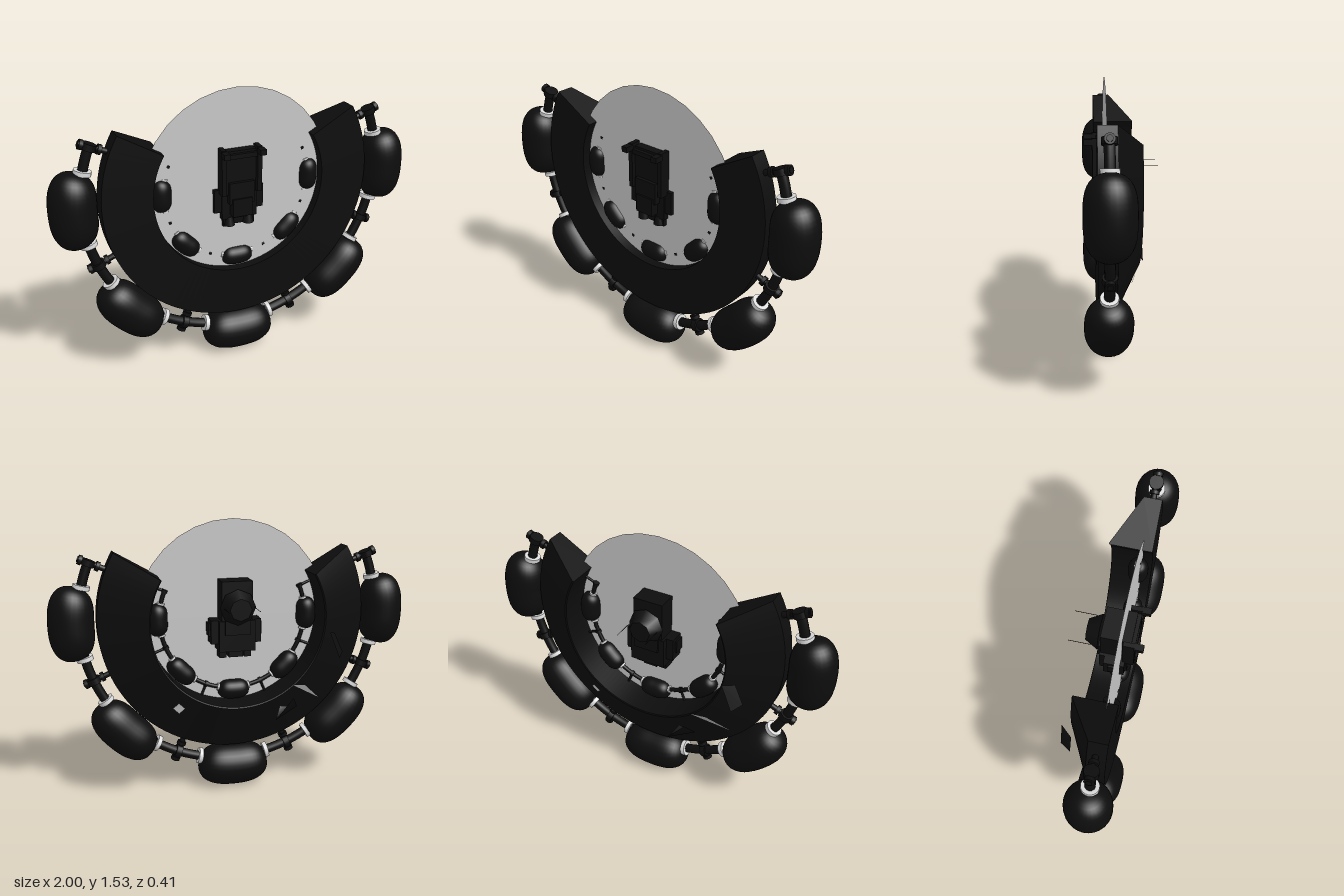
import * as THREE from 'three';
import { mergeVertices, toCreasedNormals } from 'three/addons/utils/BufferGeometryUtils.js';

const CENTRE_Y = 1.0;
const rad = THREE.MathUtils.degToRad;

const material = (name, color, side = THREE.FrontSide) => {
  const m = new THREE.MeshStandardMaterial({ color, side });
  m.name = name;
  return m;
};

function add(parent, name, geometry, mat, x = 0, y = 0, z = 0) {
  const mesh = new THREE.Mesh(geometry, mat);
  mesh.name = name;
  mesh.position.set(x, y, z);
  parent.add(mesh);
  return mesh;
}

// Rounded barrel bent along an arc around the hub; its middle sits at the bottom
function bentPod(arcRadius, halfLength, radius) {
  const profile = [];
  for (let i = 0; i <= 24; i++) {
    const t = -Math.cos((i / 24) * Math.PI);
    const r = radius * Math.pow(Math.max(0, 1 - Math.pow(Math.abs(t), 3.2)), 0.42);
    profile.push(new THREE.Vector2(r, t * halfLength));
  }
  let g = new THREE.LatheGeometry(profile, 28);
  const p = g.attributes.position;
  for (let i = 0; i < p.count; i++) {
    const a = p.getY(i) / arcRadius;
    const r = arcRadius + p.getX(i);
    p.setXYZ(i, r * Math.sin(a), -r * Math.cos(a), p.getZ(i));
  }
  g.deleteAttribute('uv');
  g.deleteAttribute('normal');
  g = mergeVertices(g, 1e-5);
  g.computeVertexNormals();
  return g;
}

// Arc of pods joined by a pipe with collars and radial brackets
function podArc(name, o, dark, pale) {
  const arc = new THREE.Group();
  arc.name = name;
  arc.position.z = o.z;
  const pipe = new THREE.TorusGeometry(o.pipeRadius, o.tube, 12, 96, rad(225));
  pipe.rotateZ(rad(-202.5));
  add(arc, 'connectingPipe', pipe, dark);

  const pod = bentPod(o.podRadius, o.halfLength, o.radius);
  const collar = new THREE.CylinderGeometry(o.tube * 1.75, o.tube * 1.75, o.tube * 0.9, 20);
  collar.rotateZ(Math.PI / 2);
  const collarAngle = o.halfLength / o.podRadius + 0.006;
  for (let k = 0; k < 5; k++) {
    const a = rad(-90 + 45 * k);
    add(arc, 'pod', pod, dark).rotation.z = a;
    for (const s of [-1, 1]) {
      const holder = new THREE.Group();
      holder.name = 'podCollar';
      holder.rotation.z = a + s * collarAngle;
      add(holder, 'collar', collar, pale, 0, -o.pipeRadius, 0);
      arc.add(holder);
    }
  }
  for (let k = 0; k < 6; k++) {
    const b = new THREE.Group();
    b.name = 'bracket';
    b.rotation.z = rad(-112.5 + 45 * k);
    const t = o.tube;
    const sleeve = new THREE.CylinderGeometry(t * 1.45, t * 1.45, t * 1.3, 16);
    sleeve.rotateZ(Math.PI / 2);
    add(b, 'sleeve', sleeve, dark, 0, -o.pipeRadius, 0);
    add(b, 'strut', new THREE.CylinderGeometry(t * 0.6, t * 0.6, o.strut, 12), dark, 0, -o.strutAt, 0);
    if (o.caps) {
      for (const r of [0.785, 0.88]) {
        add(b, 'strutCap', new THREE.CylinderGeometry(t, t, 0.02, 14), dark, 0, -r, 0);
      }
    }
    arc.add(b);
  }
  return arc;
}

// Open ring with a flat front and a sloping back
function hullRing(dark, darkDouble) {
  const g = new THREE.Group();
  g.name = 'hullRing';
  const section = [[0.745, 0.04], [0.745, 0.135], [0.478, 0.135], [0.478, -0.09], [0.485, -0.093]]
    .map(([r, z]) => new THREE.Vector2(r, z));
  let body = new THREE.LatheGeometry([...section, section[0]], 80, rad(-120), rad(240));
  body.rotateX(Math.PI / 2);
  body = toCreasedNormals(body, 0.4);
  add(g, 'ringBody', body, dark);
  for (const s of [-1, 1]) {
    const a = s * rad(120);
    const out = new THREE.Vector3(Math.sin(a), -Math.cos(a), 0);
    const up = new THREE.Vector3(0, 0, 1);
    const cap = new THREE.ShapeGeometry(new THREE.Shape(section));
    cap.applyMatrix4(new THREE.Matrix4().makeBasis(out, up, out.clone().cross(up)));
    add(g, 'ringEnd', cap, darkDouble);
  }
  return g;
}

// Thin flat patch through three or four corner points
function patch(points) {
  const g = new THREE.BufferGeometry().setFromPoints(points.map((p) => new THREE.Vector3(...p)));
  g.setIndex(points.length === 4 ? [0, 1, 2, 0, 2, 3] : [0, 1, 2]);
  g.computeVertexNormals();
  return g;
}

// Central craft: twin-railed hull, broad lower section, antennas
function centralCraft(dark) {
  const g = new THREE.Group();
  g.name = 'centralCraft';
  const box = (name, w, h, d, x, y, z) => add(g, name, new THREE.BoxGeometry(w, h, d), dark, x, y, z);
  box('hull', 0.17, 0.24, 0.16, 0, 0.09, 0.05);
  box('noseBridge', 0.17, 0.025, 0.1, 0, 0.185, 0.1);
  box('lowerHull', 0.2, 0.17, 0.15, 0, -0.09, 0.04);
  box('waist', 0.14, 0.12, 0.2, 0, -0.02, 0.05);
  box('frontBlock', 0.11, 0.1, 0.06, 0, -0.1, 0.13);
  box('keel', 0.08, 0.05, 0.1, 0, -0.19, 0.05);
  const dome = new THREE.CylinderGeometry(0.06, 0.1, 0.07, 8);
  dome.rotateX(-Math.PI / 2);
  add(g, 'rearDome', dome, dark, 0, 0.07, -0.08);
  for (const s of [-1, 1]) {
    box('sideRail', 0.025, 0.25, 0.06, s * 0.1, 0.1, 0.12);
    box('railHead', 0.035, 0.03, 0.05, s * 0.1, 0.205, 0.17);
    box('sideTank', 0.05, 0.13, 0.11, s * 0.115, -0.07, 0.05);
    box('sideFin', 0.02, 0.07, 0.06, s * 0.14, -0.06, 0.05);
    box('foot', 0.04, 0.05, 0.09, s * 0.07, -0.195, 0.06);
    add(g, 'lowerNozzle', new THREE.CylinderGeometry(0.02, 0.032, 0.05, 12), dark, s * 0.055, -0.19, 0.1);
    const rod = new THREE.CylinderGeometry(0.0015, 0.0015, 0.12, 6);
    rod.rotateX(Math.PI / 2);
    add(g, 'antenna', rod, dark, s * 0.083, 0.075, -0.14);
  }
  return g;
}

export function createModel() {
  const dark = material('black', 0x0d0d0d);
  const darkDouble = material('black sheet', 0x0d0d0d, THREE.DoubleSide);
  const pale = material('pale metal', 0xdcdcdc);
  const disc = material('grey disc', 0xc8c8c8, THREE.DoubleSide);
  const plate = material('light plate', 0xb0b0b0, THREE.DoubleSide);

  const model = new THREE.Group();
  model.name = 'ringStation';
  const hub = new THREE.Group();
  hub.name = 'station';
  hub.position.y = CENTRE_Y;
  model.add(hub);

  hub.add(hullRing(dark, darkDouble));
  hub.add(podArc('outerPods', {
    podRadius: 0.877, halfLength: 0.2, radius: 0.122, pipeRadius: 0.837, tube: 0.026,
    z: 0.083, strut: 0.15, strutAt: 0.82, caps: true,
  }, dark, pale));
  hub.add(podArc('innerPods', {
    podRadius: 0.42, halfLength: 0.088, radius: 0.055, pipeRadius: 0.41, tube: 0.0115,
    z: 0.068, strut: 0.075, strutAt: 0.443, caps: false,
  }, dark, pale));

  // Thin round sheet across the opening
  add(hub, 'disc', new THREE.CircleGeometry(0.533, 32), disc, 0, 0, 0.082);
  hub.add(centralCraft(dark));

  // Light plates on the sloping back
  add(hub, 'backPlate', patch([[-0.3, -0.37, -0.099], [-0.38, -0.385, -0.068], [-0.49, -0.49, 0.012]]), plate);
  add(hub, 'backMarker', patch([[0.3, -0.47, -0.063], [0.335, -0.435, -0.07], [0.365, -0.47, -0.047], [0.33, -0.505, -0.043]]), pale);

  // Two slanted fins on the back
  const fins = [
    [[-0.59, -0.2, -0.085], [-0.54, -0.09, -0.085], [-0.49, -0.07, -0.145], [-0.55, -0.22, -0.145]],
    [[-0.33, -0.5, -0.085], [-0.23, -0.49, -0.085], [-0.19, -0.55, -0.145], [-0.29, -0.43, -0.145]],
  ];
  for (const f of fins) add(hub, 'backFin', patch(f), darkDouble);
  return model;
}
